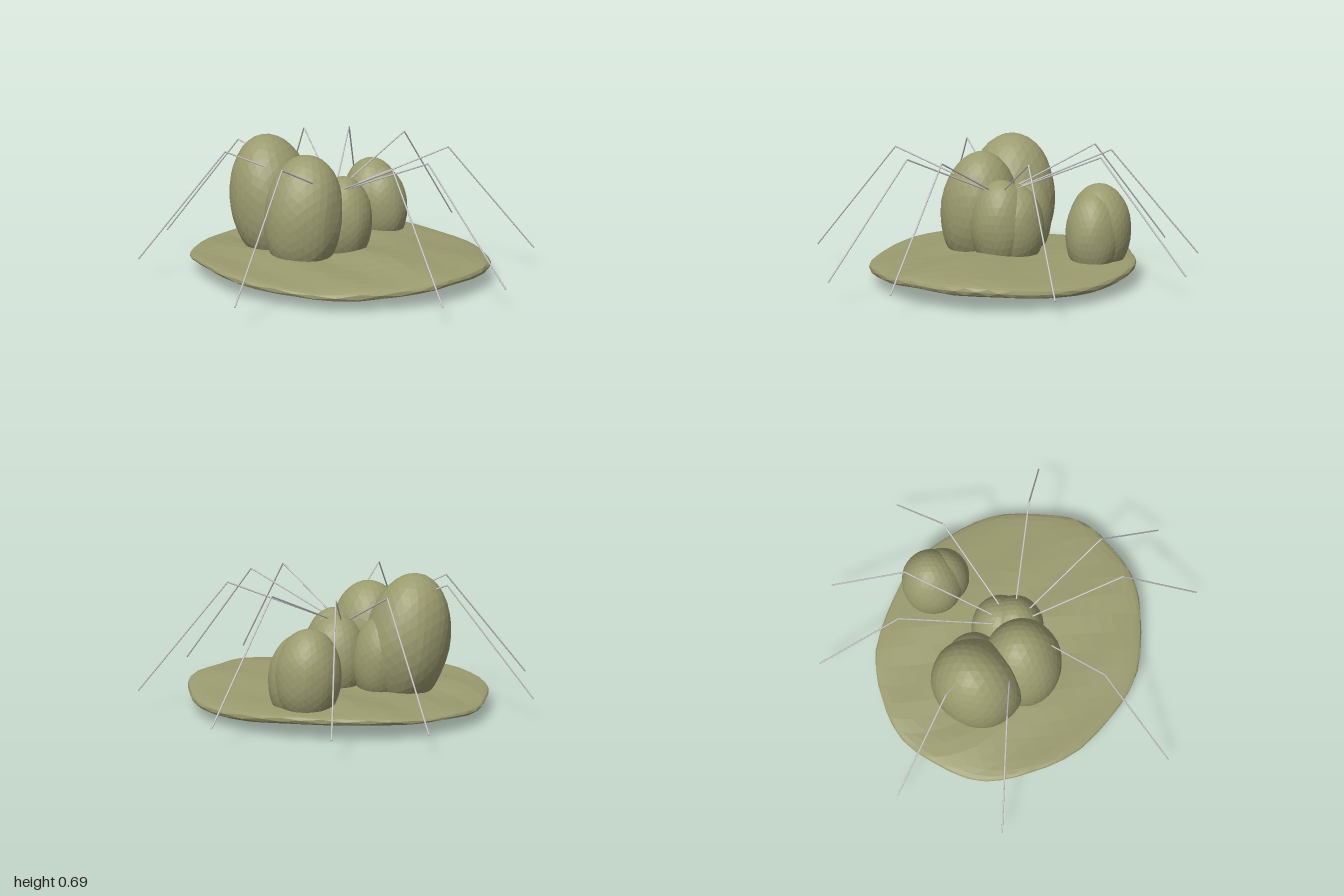
import * as THREE from 'three';

const olive = new THREE.MeshStandardMaterial({ color: 0x9b9b6f });
olive.name = 'olive';
const grey = new THREE.MeshStandardMaterial({ color: 0xc4c4c4 });
grey.name = 'light grey';

// Gentle, repeatable surface unevenness in roughly -1..1
const ripple = (x, y, z, s) =>
  (Math.sin(x * 4.1 + s) + Math.sin(y * 3.7 + z * 2.9 + s * 2.3) + Math.sin(z * 5.3 - x * 3.1 + s * 1.7)) / 3;

// Moves every vertex of a faceted unit ball by a rule and keeps the facets flat
function shapedBall(detail, rule) {
  const geo = new THREE.IcosahedronGeometry(1, detail);
  const p = geo.attributes.position;
  const v = new THREE.Vector3();
  for (let i = 0; i < p.count; i++) {
    rule(v.fromBufferAttribute(p, i));
    p.setXYZ(i, v.x, v.y, v.z);
  }
  geo.computeVertexNormals();
  return geo;
}

function addMesh(group, name, geo, material) {
  const mesh = new THREE.Mesh(geo, material);
  mesh.name = name;
  group.add(mesh);
  return mesh;
}

// Wavy, flattened base with an uneven rim
function makeDisc() {
  return shapedBall(7, (v) => {
    const a = Math.atan2(v.z, v.x);
    const up = Math.sign(v.y) * Math.pow(Math.abs(v.y), 0.65);
    const rim = 1 + 0.006 * Math.sin(a * 5 + 1) + 0.008 * Math.sin(a * 9 + 2);
    const r = Math.hypot(v.x, v.z);
    const mid = 0.087 + 0.014 * r * Math.sin(a * 3 + 0.6) + 0.009 * ripple(v.x * 2, 0, v.z * 2, 1);
    const thick = 0.047 + 0.012 * v.x + 0.012 * ripple(v.x * 2.2, up, v.z * 2.2, 4);
    v.set(v.x * 0.775 * rim + 0.028, mid + up * thick, v.z * 0.67 * rim - 0.028);
  });
}

// Egg-shaped pods: name, centre, radii, tilt about x, tilt about z
const PODS = [
  ['largePod', [-0.327, 0.347, -0.005], [0.215, 0.35, 0.235], 0, 0.17],
  ['largePodLobe', [-0.215, 0.27, -0.085], [0.145, 0.23, 0.15], 0, 0.1],
  ['frontPod', [-0.108, 0.318, 0.128], [0.203, 0.31, 0.198], -0.1, -0.05],
  ['middlePod', [0.02, 0.255, -0.075], [0.155, 0.225, 0.155], 0, 0],
  ['middlePodLobe', [0.045, 0.265, -0.015], [0.154, 0.238, 0.155], 0, -0.05],
  ['rearPod', [0.045, 0.265, -0.51], [0.16, 0.232, 0.16], 0, 0.05],
  ['rearPodLobe', [0.105, 0.25, -0.485], [0.142, 0.215, 0.135], 0, 0.12],
];

// Feet of the legs on the plan, as x and z
const FEET = [
  [0.98, 0.33], [0.77, 0.68], [-0.11, 1.0], [-0.87, 0.47], [-0.98, -0.08],
  [-0.6, -0.81], [-0.2, -1.0], [0.375, -0.96], [0.96, -0.41],
];

// Thin straight rod between two points
function addRod(group, name, a, b) {
  const dir = b.clone().sub(a);
  const rod = addMesh(group, name, new THREE.CylinderGeometry(0.004, 0.004, dir.length(), 8), grey);
  rod.position.copy(a).add(b).multiplyScalar(0.5);
  rod.quaternion.setFromUnitVectors(new THREE.Vector3(0, 1, 0), dir.normalize());
}

export function createModel() {
  const model = new THREE.Group();
  model.name = 'podCreature';

  addMesh(model, 'baseDisc', makeDisc(), olive);

  // Pods growing through the disc
  PODS.forEach(([name, centre, radii, tiltX, tiltZ], i) => {
    const geo = shapedBall(5, (v) => {
      const k = 1 + 0.018 * ripple(v.x * 1.6, v.y * 1.6, v.z * 1.6, i * 1.9);
      v.set(v.x * radii[0] * k, v.y * radii[1], v.z * radii[2] * k);
    });
    const pod = addMesh(model, name, geo, olive);
    pod.position.set(...centre);
    pod.rotation.set(tiltX, 0, tiltZ);
  });

  // Bent legs spreading from the middle, their knees shifted slightly to +x
  FEET.forEach(([x, z], i) => {
    const leg = new THREE.Group();
    leg.name = 'leg' + (i + 1);
    const at = (t, y, dx) => new THREE.Vector3(x * t + dx, y, z * t);
    const hip = at(0.1, 0.46, 0.01), knee = at(0.553, 0.648, 0.008), foot = at(0.998, 0.11, 0);
    addRod(leg, 'upperLeg', hip, knee);
    addRod(leg, 'lowerLeg', knee, foot);
    model.add(leg);
  });

  return model;
}
